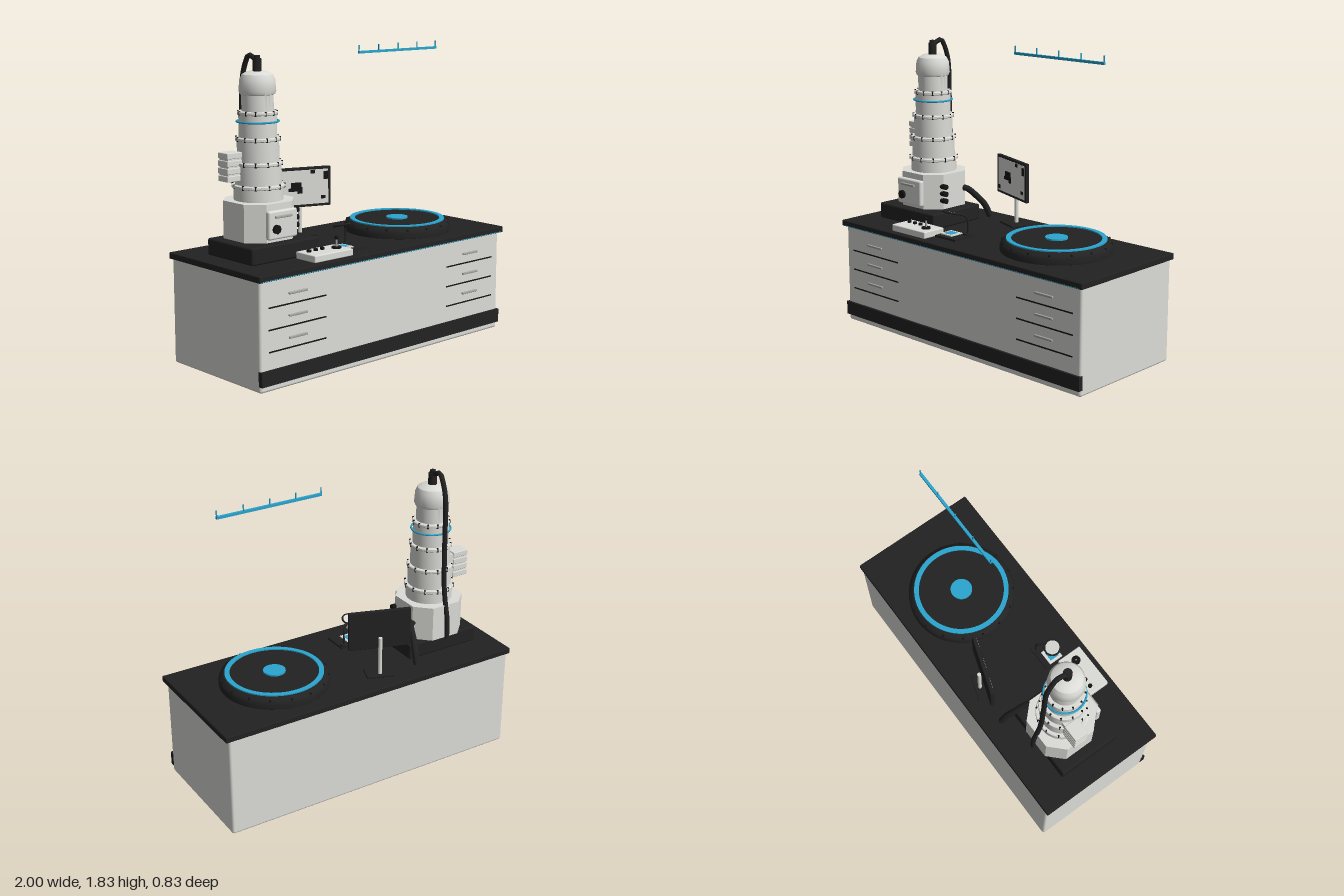
import * as THREE from 'three';
import { toCreasedNormals } from 'three/addons/utils/BufferGeometryUtils.js';
import { RoundedBoxGeometry } from 'three/addons/geometries/RoundedBoxGeometry.js';

const paint = (name, color) => Object.assign(new THREE.MeshStandardMaterial({ color }), { name });

export function createModel() {
  const white = paint('warm white enamel', 0xdcdcd8);
  const black = paint('charcoal', 0x222222);
  const dark = paint('near black rubber', 0x141414);
  const blue = paint('cyan accent', 0x2aa5cf);
  const steel = paint('brushed steel', 0xa6a6a3);

  const model = new THREE.Group();
  model.name = 'microscopeBench';

  const group = (name, x = 0, y = 0, z = 0, parent = model) => {
    const g = new THREE.Group();
    g.name = name;
    g.position.set(x, y, z);
    parent.add(g);
    return g;
  };
  const add = (name, geo, mat, x, y, z, parent = model) => {
    const m = new THREE.Mesh(geo, mat);
    m.name = name;
    m.position.set(x, y, z);
    parent.add(m);
    return m;
  };
  const box = (name, mat, w, h, d, x, y, z, parent) =>
    add(name, new THREE.BoxGeometry(w, h, d), mat, x, y, z, parent);
  const rbox = (name, mat, w, h, d, r, x, y, z, parent) =>
    add(name, new RoundedBoxGeometry(w, h, d, 2, r), mat, x, y, z, parent);
  const cyl = (name, mat, r, h, x, y, z, parent, seg = 20) =>
    add(name, new THREE.CylinderGeometry(r, r, h, seg), mat, x, y, z, parent);
  const lathe = (name, mat, pts, x, y, z, parent, seg = 48) =>
    add(name, toCreasedNormals(new THREE.LatheGeometry(pts.map(p => new THREE.Vector2(...p)), seg), 0.5),
      mat, x, y, z, parent);
  const tube = (name, mat, pts, r, parent) => {
    const curve = new THREE.CatmullRomCurve3(pts.map(p => new THREE.Vector3(...p)), false, 'centripetal');
    return add(name, new THREE.TubeGeometry(curve, 48, r, 10), mat, 0, 0, 0, parent);
  };

  // Bench cabinet, worktop and plinth
  const bench = group('bench');
  rbox('cabinet', white, 1.96, 0.64, 0.8, 0.015, 0, 0.32, -0.01, bench);
  rbox('worktop', black, 2, 0.038, 0.83, 0.006, 0, 0.647, 0, bench);
  box('worktopTrim', blue, 1.96, 0.004, 0.003, 0, 0.633, 0.414, bench);
  box('plinth', black, 1.964, 0.085, 0.03, 0, 0.0825, 0.391, bench);
  for (const s of [-1, 1]) {
    for (let i = 0; i < 3; i++) {
      box('drawerGap', dark, 0.42, 0.008, 0.004, s * 0.71, 0.475 - i * 0.125, 0.391, bench);
      rbox('drawerHandle', steel, 0.135, 0.014, 0.012, 0.004, s * 0.71, 0.535 - i * 0.126, 0.395, bench);
    }
  }

  // Microscope base and octagonal specimen chamber
  const scope = group('microscope', -0.626, 0, -0.045);
  rbox('basePlinth', black, 0.497, 0.1, 0.41, 0.012, 0, 0.715, 0.04, scope);
  const a = 0.185, c = 0.095;
  const oct = new THREE.Shape([[a, -c], [a, c], [c, a], [-c, a], [-a, c], [-a, -c], [-c, -a], [c, -a]]
    .map(p => new THREE.Vector2(...p)));
  const octGeo = new THREE.ExtrudeGeometry(oct, { depth: 0.22, bevelEnabled: false }).rotateX(-Math.PI / 2);
  add('chamber', octGeo, white, 0, 0.765, 0, scope);

  // Chamber door with grip and knob
  rbox('chamberDoor', white, 0.21, 0.165, 0.036, 0.012, 0, 0.868, 0.202, scope);
  rbox('doorGrip', steel, 0.12, 0.014, 0.016, 0.004, -0.003, 0.915, 0.224, scope);
  cyl('doorKnob', dark, 0.027, 0.02, -0.055, 0.846, 0.226, scope, 8).rotation.x = Math.PI / 2;
  // Stage adjusters on the left side
  for (const y of [0.91, 0.865, 0.82])
    cyl('stageKnob', dark, 0.017, 0.07, 0.178, y, 0.095, scope, 12).rotation.z = Math.PI / 2;

  // Stepped column with rounded head
  lathe('column', white, [
    [0.143, 0.98], [0.143, 1.07], [0.134, 1.075], [0.134, 1.2], [0.121, 1.2], [0.121, 1.335],
    [0.11, 1.34], [0.11, 1.48], [0.092, 1.485], [0.092, 1.585], [0.1, 1.588], [0.107, 1.605],
    [0.102, 1.67], [0.088, 1.7], [0.06, 1.715], [0, 1.718],
  ], 0, 0, 0, scope);
  // Bolted flanges
  for (const [y, r] of [[1.066, 0.155], [1.196, 0.142], [1.335, 0.13], [1.483, 0.116]]) {
    const f = group('flange', 0, y, 0, scope);
    lathe('flangeRing', white, [[0, -0.01], [r - 0.004, -0.01], [r, -0.006], [r, 0.006], [r - 0.004, 0.01], [0, 0.01]],
      0, 0, 0, f);
    for (let i = 0; i < 12; i++) {
      const t = (i + 0.5) * Math.PI / 6;
      cyl('flangeBolt', dark, 0.006, 0.026, Math.cos(t) * (r - 0.005), 0, Math.sin(t) * (r - 0.005), f, 6);
    }
  }
  add('glowRing', new THREE.TorusGeometry(0.12, 0.006, 8, 48).rotateX(Math.PI / 2), blue, 0, 1.434, 0, scope);

  // Finned pump housing on the right side of the column
  box('pumpHousing', white, 0.13, 0.15, 0.08, -0.152, 1.185, -0.04, scope);
  for (let i = 0; i < 4; i++)
    rbox('pumpFin', white, 0.105, 0.034, 0.09, 0.004, -0.172, 1.12 + i * 0.0435, -0.04, scope);

  // Cable plug, high-voltage cable and vacuum hose
  cyl('cablePlug', black, 0.026, 0.075, 0, 1.75, 0, scope);
  cyl('cablePlugTip', black, 0.017, 0.02, 0, 1.795, 0, scope);
  tube('mainCable', black, [[0, 1.775, 0], [0, 1.795, -0.04], [0, 1.803, -0.075], [0, 1.77, -0.1], [0, 1.67, -0.135],
    [0, 1.4, -0.145], [0, 1.1, -0.158], [0, 0.98, -0.18], [0, 0.9, -0.2], [0, 0.77, -0.205]], 0.015, scope);
  tube('vacuumHose', black, [[0.165, 0.875, -0.085], [0.2, 0.87, -0.1], [0.225, 0.81, -0.165],
    [0.245, 0.75, -0.215], [0.255, 0.675, -0.25]], 0.02, scope);

  // Control box with knobs and joystick
  const panel = group('controlBox', -0.42, 0.665, 0.292);
  rbox('controlBody', white, 0.293, 0.042, 0.165, 0.006, 0, 0.021, 0, panel);
  for (const x of [-0.1, -0.05, 0])
    cyl('controlKnob', dark, 0.013, 0.014, x, 0.048, -0.022, panel, 14);
  cyl('joystickBoot', dark, 0.028, 0.012, 0.083, 0.046, 0.008, panel);
  cyl('joystickStem', steel, 0.005, 0.055, 0.083, 0.075, 0.008, panel, 8);
  add('joystickBall', new THREE.SphereGeometry(0.012, 14, 10), dark, 0.083, 0.104, 0.008, panel);

  // Magnifier over a small sample stage
  const mag = group('magnifier', -0.18, 0.666, 0.21);
  box('magnifierBase', black, 0.17, 0.012, 0.165, 0, 0.006, 0, mag);
  box('sampleTray', white, 0.095, 0.008, 0.095, -0.03, 0.015, 0, mag);
  box('sampleSlide', blue, 0.06, 0.006, 0.06, -0.03, 0.018, 0, mag);
  cyl('armFoot', black, 0.028, 0.012, 0.05, 0.016, -0.06, mag);
  tube('magnifierArm', black, [[0.05, 0.01, -0.06], [0.055, 0.08, -0.06], [0.05, 0.115, -0.058],
    [0.032, 0.132, -0.045], [0.008, 0.142, -0.022]], 0.006, mag);
  const lens = group('lens', -0.03, 0.145, 0, mag);
  lens.rotation.x = -0.28;
  add('lensRim', new THREE.TorusGeometry(0.049, 0.006, 8, 32).rotateX(Math.PI / 2), black, 0, 0, 0, lens);
  cyl('lensGlass', white, 0.047, 0.005, 0, 0, 0, lens, 32);

  // Angled monitor on a post
  const monitor = group('monitor', -0.123, 0, -0.252);
  monitor.rotation.y = -0.33;
  rbox('monitorFoot', black, 0.17, 0.014, 0.11, 0.004, 0, 0.673, 0, monitor);
  cyl('monitorPost', white, 0.012, 0.25, 0, 0.795, -0.022, monitor);
  rbox('monitorCase', black, 0.38, 0.245, 0.024, 0.004, 0, 0.967, 0.004, monitor);
  box('screen', white, 0.346, 0.213, 0.004, 0, 0.967, 0.0155, monitor);
  // Dark specimen patches shown on the screen
  for (const [x, y, w, h] of [[-0.04, 0.972, 0.07, 0.055], [-0.065, 0.955, 0.05, 0.02], [-0.015, 0.95, 0.03, 0.04],
    [0.155, 1.035, 0.03, 0.05], [0.07, 1.06, 0.03, 0.02], [-0.155, 0.885, 0.03, 0.025], [0.14, 0.9, 0.03, 0.02]])
    box('specimenPatch', dark, w, h, 0.002, x, y, 0.0185, monitor);

  // Round display platform
  const stage = group('displayPlatform', 0.457, 0, 0);
  lathe('platformBody', black, [[0, 0.66], [0.328, 0.66], [0.333, 0.667], [0.333, 0.7], [0.326, 0.716],
    [0.303, 0.734], [0, 0.736]], 0, 0, 0, stage, 64);
  lathe('platformRing', blue, [[0.267, 0.73], [0.297, 0.73], [0.297, 0.741], [0.267, 0.741], [0.267, 0.73]],
    0, 0, 0, stage, 64);
  cyl('platformEmitter', blue, 0.068, 0.012, 0, 0.739, 0, stage, 32);
  for (let i = 0; i < 16; i++) {
    const t = (i + 0.5) * Math.PI / 8;
    add('platformStud', new THREE.SphereGeometry(0.008, 8, 6), dark, Math.cos(t) * 0.322, 0.717, Math.sin(t) * 0.322, stage);
  }

  // Floating scale bar with ticks
  const scale = group('scaleBar', 0.457, 1.79, 0);
  box('scaleRail', blue, 0.672, 0.015, 0.016, 0, 0, 0, scale);
  for (let i = -2; i <= 2; i++)
    box('scaleTick', blue, 0.006, 0.045, 0.006, i * 0.1665, 0.021, 0, scale);

  return model;
}
